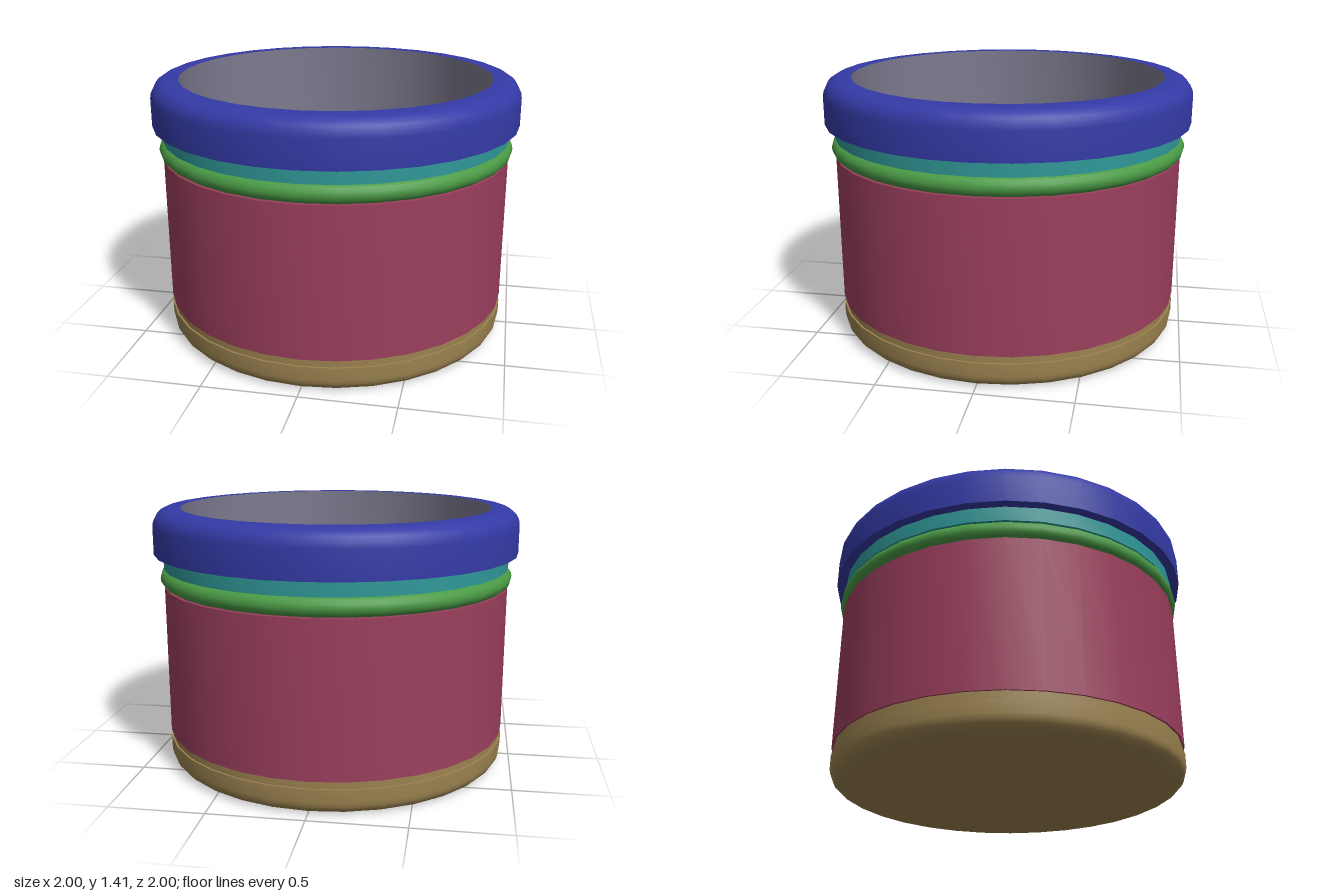
import * as THREE from 'three';
import { toCreasedNormals } from 'three/addons/utils/BufferGeometryUtils.js';

const SIDES = 32;

// Quarter-turn (or longer) arc of profile points, angles in degrees
function arc(cx, cy, r, from, to, steps = 5) {
  return Array.from({ length: steps + 1 }, (_, i) => {
    const a = THREE.MathUtils.degToRad(from + ((to - from) * i) / steps);
    return [cx + r * Math.cos(a), cy + r * Math.sin(a)];
  });
}

// Turned part; profile runs counter-clockwise in (radius, height)
function turned(name, color, profile) {
  const points = profile.map(([r, y]) => new THREE.Vector2(Math.max(r, 0), y));
  const geometry = toCreasedNormals(new THREE.LatheGeometry(points, SIDES), 0.6);
  const material = new THREE.MeshStandardMaterial({ color, side: THREE.DoubleSide });
  const mesh = new THREE.Mesh(geometry, material);
  mesh.name = name;
  return mesh;
}

export function createModel() {
  const group = new THREE.Group();
  group.name = 'jar';

  group.add(
    // Rounded foot with a shallow step under the wall
    turned('base', 0x9c8350, [
      [0, 0], ...arc(0.88, 0.07, 0.07, -90, 0), [0.95, 0.14], [0.94, 0.14], [0.94, 0.18], [0.86, 0.18],
    ]),
    // Main wall
    turned('body', 0x9c3f5d, [
      [0.86, 0.18], [0.95, 0.18], [0.95, 0.99], [0.86, 0.99],
    ]),
    // Bulging ring above the wall
    turned('bead', 0x4a9a45, [
      [0.86, 0.99], ...arc(0.92, 1.04, 0.05, -90, 90, 8), [0.86, 1.09],
    ]),
    // Recessed neck
    turned('neck', 0x309898, [
      [0.86, 1.09], [0.95, 1.09], [0.95, 1.18], [0.86, 1.18],
    ]),
    // Overhanging rim with a rounded shoulder
    turned('rim', 0x343aa6, [
      [0.85, 1.17], [1, 1.17], ...arc(0.91, 1.32, 0.09, 0, 90), [0.85, 1.41],
    ]),
    // Inner wall and floor
    turned('interior', 0x7c7a8e, [
      [0.85, 1.41], [0.85, 0.1], [0, 0.1],
    ]),
  );
  return group;
}
